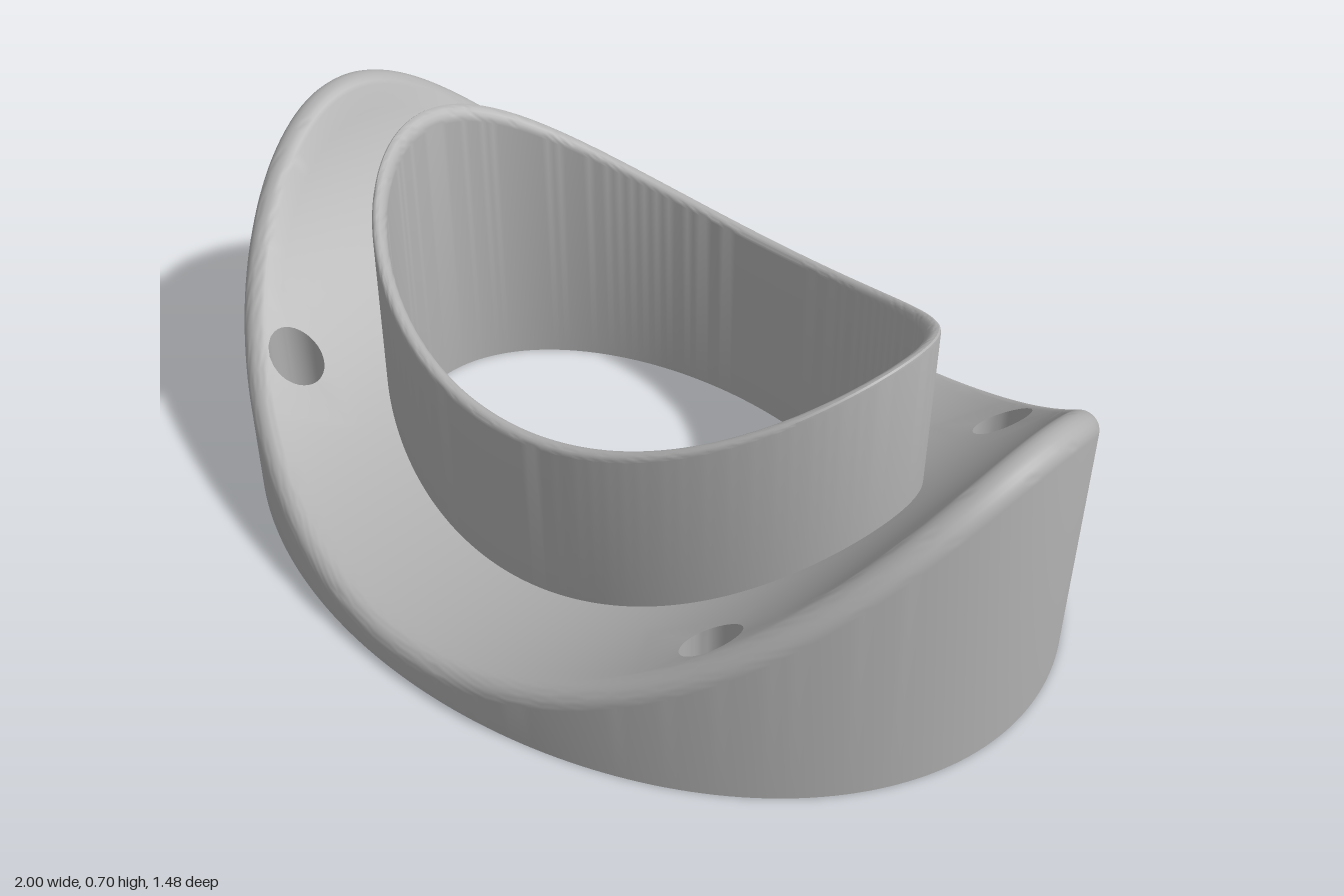
import * as THREE from 'three';
import { toCreasedNormals } from 'three/addons/utils/BufferGeometryUtils.js';

const N = 240;                 // steps round the ellipse
const FLOOR_STEPS = 10;
const R = 1.03;                // radius of the trough and of the collar's top cut
const FLOOR_Y = 1.11;          // axis height of the trough
const COLLAR_Y = 1.49;         // axis height of the collar's top cut
const FILLET = 0.038;
const OUTER = [1, 0.74], COLLAR = [0.677, 0.445], BORE = [0.645, 0.413];
const SCREWS = [[30, 0.62, 0.45], [90, -0.62, 0.45], [150, -0.62, -0.45], [210, 0.62, -0.45]];
const PINS = [[0.84, 0], [-0.84, 0], [0, 0.6], [0, -0.6]];

const arc = (x, axisY, r = R) => axisY - Math.sqrt(r * r - x * x);
const V = (x, y, z) => new THREE.Vector3(x, y, z);

// Skins a stack of closed loops; skip(j, i) leaves a quad open
function skin(rows, out = [], skip = () => false) {
  for (let j = 0; j < rows.length - 1; j++) {
    const n = rows[j].length;
    for (let i = 0; i < n; i++) {
      if (skip(j, i)) continue;
      const k = (i + 1) % n;
      const a = rows[j][i], b = rows[j][k], c = rows[j + 1][k], d = rows[j + 1][i];
      for (const p of [a, d, c, a, c, b]) out.push(p.x, p.y, p.z);
    }
  }
  return out;
}

function meshFrom(name, positions, material) {
  const g = new THREE.BufferGeometry();
  g.setAttribute('position', new THREE.Float32BufferAttribute(positions, 3));
  const mesh = new THREE.Mesh(toCreasedNormals(g, 0.6), material);
  mesh.name = name;
  return mesh;
}

// One loop, from a function of the ellipse angle
const loop = (fn, n = N) =>
  Array.from({ length: n }, (_, i) => fn((i / n) * Math.PI * 2));
const onEllipse = ([a, b], t, y = 0) => V(a * Math.cos(t), y, b * Math.sin(t));
const ring = (x, z, r, y, n = 32) => loop((t) => V(x + r * Math.cos(t), y, z + r * Math.sin(t)), n);

// Rounded rim point: a ball rolling between the wall and the trough, u from 0 to 1
function rimPoint(t, u) {
  const n = V(OUTER[1] * Math.cos(t), 0, OUTER[0] * Math.sin(t)).normalize();
  const c = onEllipse(OUTER, t).addScaledVector(n, -FILLET);
  c.y = arc(c.x, FLOOR_Y, R + FILLET);
  const f = V(-c.x, FLOOR_Y - c.y, 0).normalize();
  const angle = n.angleTo(f);
  return c
    .addScaledVector(n, (FILLET * Math.sin((1 - u) * angle)) / Math.sin(angle))
    .addScaledVector(f, (FILLET * Math.sin(u * angle)) / Math.sin(angle));
}

// Outer wall, rounded rim and trough floor with its counterbored screw holes
function bodyPositions() {
  const rows = [loop((t) => onEllipse(OUTER, t))];
  for (let k = 0; k <= 10; k++) rows.push(loop((t) => rimPoint(t, k / 10)));
  const first = rows.length - 1;
  for (let k = 1; k <= FLOOR_STEPS; k++) {
    rows.push(loop((t) => {
      const p = rimPoint(t, 1).lerp(onEllipse(COLLAR, t), k / FLOOR_STEPS);
      p.y = arc(p.x, FLOOR_Y);
      return p;
    }));
  }
  const half = 6, last = first + 6;
  const out = skin(rows, [], (j, i) => j >= first && j < last &&
    SCREWS.some(([c]) => i >= c - half && i < c + half));

  for (const [c, x, z] of SCREWS) {
    // border of the open patch, sorted round the hole
    const border = [];
    for (let j = first; j <= last; j++) {
      for (let i = c - half; i <= c + half; i++) {
        if (j === first || j === last || i === c - half || i === c + half) border.push(rows[j][i]);
      }
    }
    const dir = (p) => Math.atan2(p.z - z, p.x - x);
    border.sort((p, q) => dir(p) - dir(q));
    const hole = (r, y) => border.map((p) => {
      const px = x + r * Math.cos(dir(p));
      return V(px, y ?? arc(px, FLOOR_Y), z + r * Math.sin(dir(p)));
    });
    skin([border, hole(0.058), hole(0.058, 0.12), hole(0.035, 0.12),
      hole(0.035, 0.03), hole(0.056, 0)], out);
  }
  return out;
}

// Upright collar with a rounded, saddle-shaped top edge
function collarPositions() {
  const mid = COLLAR.map((v, i) => (v + BORE[i]) / 2);
  const half = (COLLAR[0] - BORE[0]) / 2;
  const rows = [loop((t) => onEllipse(COLLAR, t, arc(COLLAR[0] * Math.cos(t), FLOOR_Y)))];
  for (let k = 0; k <= 8; k++) {
    const a = (k / 8) * Math.PI;
    const size = mid.map((v) => v + half * Math.cos(a));
    rows.push(loop((t) =>
      onEllipse(size, t, arc(size[0] * Math.cos(t), COLLAR_Y) - half * (1 - Math.sin(a)))));
  }
  rows.push(loop((t) => onEllipse(BORE, t)));
  return skin(rows);
}

// Flat underside, open at the bore and at every hole
function undersideGeometry() {
  const shape = new THREE.Shape(loop((t) => new THREE.Vector2(OUTER[0] * Math.cos(t), OUTER[1] * Math.sin(t))));
  const cut = (x, z, a, b, n) => shape.holes.push(new THREE.Path(
    loop((t) => new THREE.Vector2(x + a * Math.cos(t), z + b * Math.sin(t)), n)));
  cut(0, 0, BORE[0], BORE[1], N);
  for (const [, x, z] of SCREWS) cut(x, z, 0.056, 0.056, 32);
  for (const [x, z] of PINS) cut(x, z, 0.033, 0.033, 32);
  return new THREE.ShapeGeometry(shape).rotateX(Math.PI / 2);
}

export function createModel() {
  const model = new THREE.Group();
  model.name = 'saddleFlange';
  const grey = new THREE.MeshStandardMaterial({ color: 0xb0b0b0 });
  grey.name = 'grey';

  model.add(meshFrom('saddleBody', bodyPositions(), grey));
  model.add(meshFrom('collar', collarPositions(), grey));

  const underside = new THREE.Mesh(undersideGeometry(), grey);
  underside.name = 'underside';
  model.add(underside);

  // Blind pin holes in the underside
  const pins = [];
  for (const [x, z] of PINS) {
    skin([ring(x, z, 0, 0.05), ring(x, z, 0.033, 0.05), ring(x, z, 0.033, 0)], pins);
  }
  model.add(meshFrom('pinHoles', pins, grey));
  return model;
}
